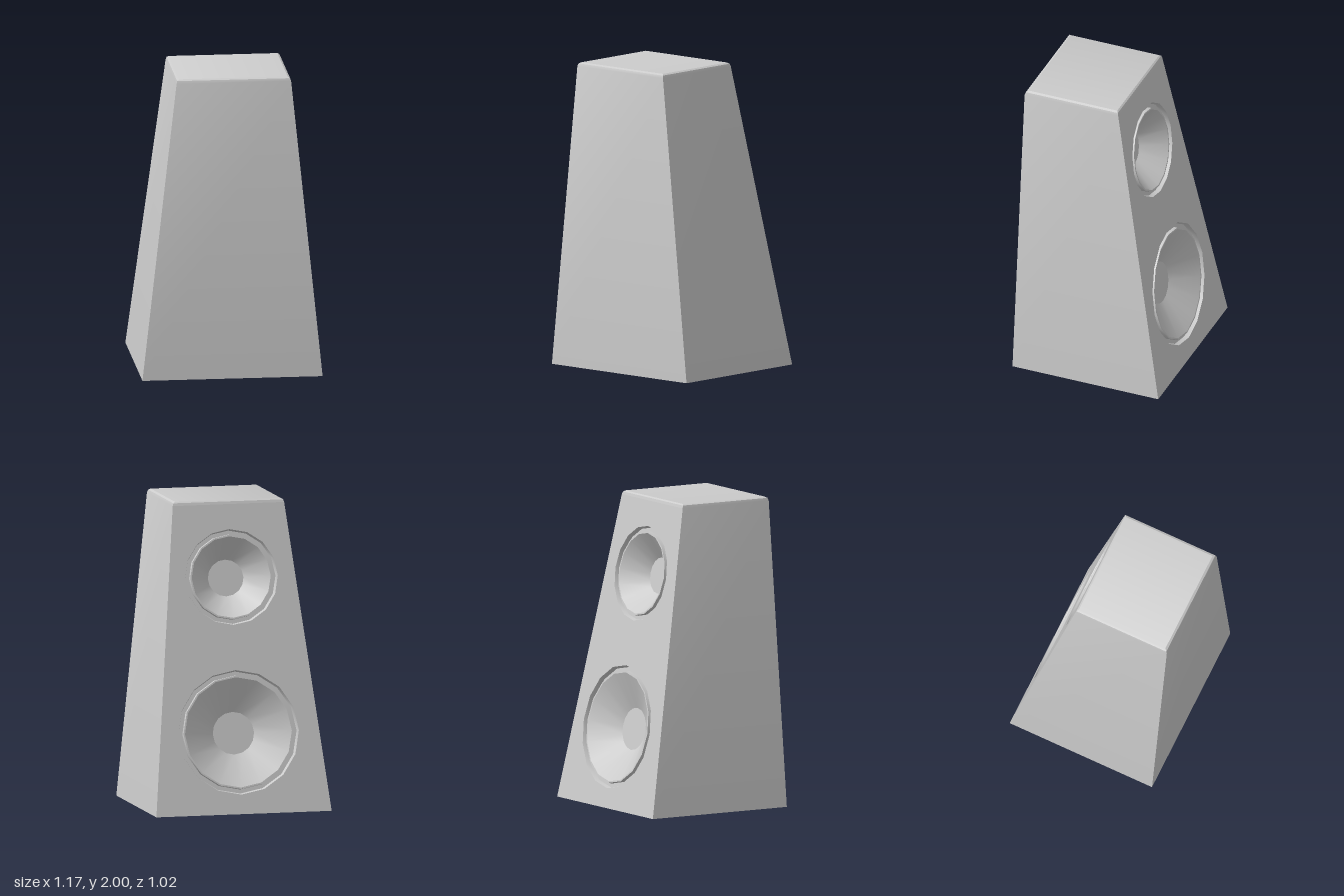
import * as THREE from 'three';
import { toCreasedNormals } from 'three/addons/utils/BufferGeometryUtils.js';

const SIDES = 16;
const material = new THREE.MeshStandardMaterial({ color: 0xcccccc, side: THREE.DoubleSide });

// Cabinet cross-sections from the floor to the top: y, left x, right x, front z, back z
const sections = [
  [0, -0.587, 0.585, 0.51, -0.51],
  [1.975, -0.365, 0.38, 0.51, -0.145],
  [1.992, -0.36, 0.374, 0.504, -0.14],
  [2, -0.345, 0.36, 0.49, -0.13],
];

// Drivers on the sloped baffle: height along the slope, radius, cap radius, cone depth
const drivers = [
  { name: 'woofer', v: 0.53, r: 0.403, cap: 0.138, depth: 0.135 },
  { name: 'midrange', v: 1.536, r: 0.31, cap: 0.119, depth: 0.15 },
];
const centreX = 0.01;

function mesh(name, geometry) {
  const m = new THREE.Mesh(geometry, material);
  m.name = name;
  return m;
}

function corners([y, xl, xr, zf, zb]) {
  return [[xl, y, zf], [xr, y, zf], [xr, y, zb], [xl, y, zb]];
}

// Three walls, rounded top edge and lid; the underside is open
function cabinetShell() {
  const pos = [];
  const quad = (a, b, c, d) => pos.push(...a, ...b, ...c, ...a, ...c, ...d);
  const rings = sections.map(corners);
  for (let s = 0; s < rings.length - 1; s++) {
    for (let i = 0; i < 4; i++) {
      if (s === 0 && i === 2) continue; // the baffle fills this side
      const j = (i + 1) % 4;
      quad(rings[s][i], rings[s][j], rings[s + 1][j], rings[s + 1][i]);
    }
  }
  quad(...rings[rings.length - 1]);
  const g = new THREE.BufferGeometry();
  g.setAttribute('position', new THREE.Float32BufferAttribute(pos, 3));
  return toCreasedNormals(g, 0.5);
}

// Sloped panel with a round opening for each driver, drawn in its own plane
function baffleGeometry(length) {
  const [, xl0, xr0] = sections[0];
  const [, xl1, xr1] = sections[1];
  const shape = new THREE.Shape([
    new THREE.Vector2(-xr0, 0), new THREE.Vector2(-xl0, 0),
    new THREE.Vector2(-xl1, length), new THREE.Vector2(-xr1, length),
  ]);
  for (const d of drivers) {
    const ring = [];
    for (let i = 0; i < SIDES; i++) {
      const a = (-i / SIDES) * Math.PI * 2;
      ring.push(new THREE.Vector2(-centreX + d.r * Math.cos(a), d.v + d.r * Math.sin(a)));
    }
    shape.holes.push(new THREE.Path(ring));
  }
  return new THREE.ShapeGeometry(shape);
}

// Grooved surround, cone and flat cap, facing +z
function makeDriver({ name, v, r, cap, depth }) {
  const group = new THREE.Group();
  group.name = name;
  const profile = (pts) => {
    const g = new THREE.LatheGeometry(pts.map((p) => new THREE.Vector2(...p)), SIDES);
    return toCreasedNormals(g.rotateX(Math.PI / 2), 0.5);
  };
  const rim = r - 0.046;
  group.add(mesh('surround', profile([
    [rim, -0.005], [rim + 0.01, -0.005], [rim + 0.012, -0.03], [r - 0.008, -0.03], [r, 0],
  ])));
  group.add(mesh('cone', profile([[cap, -depth], [rim, -0.005]])));
  const disc = mesh('cap', new THREE.CircleGeometry(cap, SIDES));
  disc.position.z = -depth;
  group.add(disc);
  group.position.set(-centreX, v, 0);
  return group;
}

export function createModel() {
  const model = new THREE.Group();
  model.name = 'loudspeaker';
  model.add(mesh('cabinet', cabinetShell()));

  // Local frame of the sloped side: x across, y up the slope, z outward
  const slope = new THREE.Vector3(0, sections[1][0], sections[1][4] - sections[0][4]);
  const length = slope.length();
  const across = new THREE.Vector3(-1, 0, 0);
  const up = slope.normalize();
  const out = new THREE.Vector3().crossVectors(across, up);
  const panel = new THREE.Group();
  panel.name = 'speakerPanel';
  panel.quaternion.setFromRotationMatrix(new THREE.Matrix4().makeBasis(across, up, out));
  panel.position.z = sections[0][4];
  panel.add(mesh('baffle', baffleGeometry(length)));
  for (const d of drivers) panel.add(makeDriver(d));
  model.add(panel);
  return model;
}
